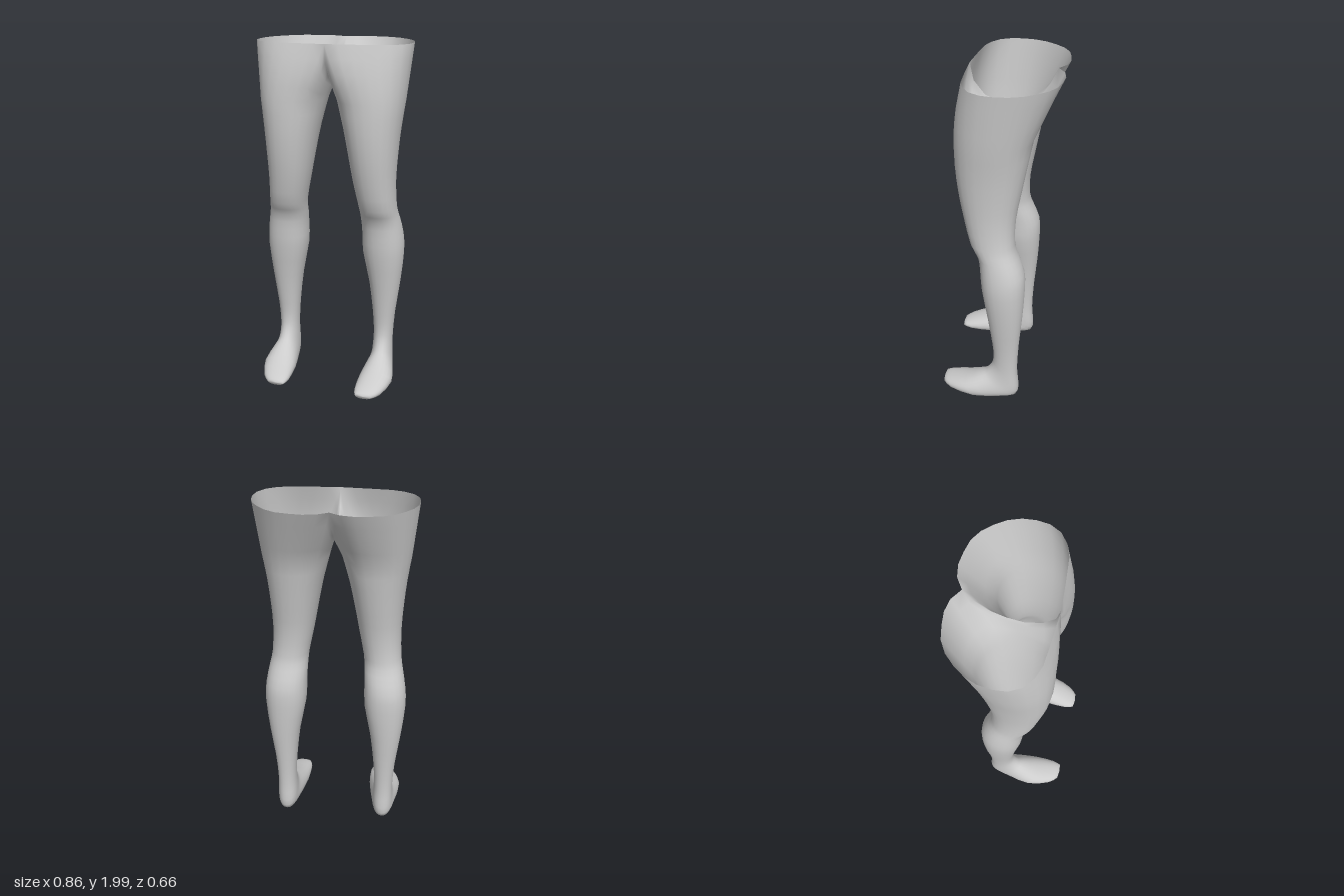
import * as THREE from 'three';

const SIDES = 24;
const spline = (points) =>
  new THREE.CatmullRomCurve3(points.map((p) => new THREE.Vector3(...p)), false, 'catmullrom', 0.5);

// Leg sections from toe to thigh: back (y, z), front (y, z), inner x, outer x
const SECTIONS = [
  [0.02, 0.322, 0.055, 0.32, 0.22, 0.315],
  [0.003, 0.26, 0.073, 0.277, 0.204, 0.36],
  [-0.01, 0.1, 0.11, 0.175, 0.205, 0.4],
  [-0.01, -0.05, 0.157, 0.083, 0.225, 0.382],
  [0.01, -0.137, 0.185, 0.045, 0.238, 0.368],
  [0.08, -0.15, 0.24, 0.012, 0.242, 0.361],
  [0.2, -0.14, 0.31, 0.003, 0.245, 0.36],
  [0.4, -0.148, 0.4, 0.008, 0.236, 0.37],
  [0.6, -0.165, 0.6, 0.033, 0.212, 0.395],
  [0.8, -0.176, 0.8, 0.065, 0.173, 0.413],
  [0.92, -0.17, 0.92, 0.074, 0.169, 0.406],
  [1.02, -0.134, 1.02, 0.087, 0.164, 0.387],
  [1.1, -0.112, 1.1, 0.132, 0.158, 0.372],
  [1.25, -0.115, 1.25, 0.168, 0.128, 0.365],
  [1.4, -0.14, 1.4, 0.194, 0.101, 0.371],
  [1.55, -0.167, 1.55, 0.208, 0.071, 0.383],
  [1.7, -0.195, 1.7, 0.21, 0.032, 0.402],
];

// Open hip edge, from the centre back around the outside to the centre front
const HIP_EDGE = spline([
  [0, 2, -0.28], [0.045, 2, -0.312], [0.1, 2, -0.33], [0.2, 2, -0.32],
  [0.3, 2, -0.285], [0.4, 2, -0.165], [0.43, 2, -0.04], [0.405, 2, 0.075],
  [0.31, 2, 0.145], [0.18, 2, 0.163], [0, 2, 0.175],
]);

// Centre seam, from the front down under the crotch and up the back
const SEAM = spline([
  [0, 2, 0.175], [0, 1.87, 0.14], [0, 1.8, 0.03],
  [0, 1.8, -0.06], [0, 1.87, -0.2], [0, 2, -0.28],
]);

// Closed rim of one hip, turned so that its first point lies on the outer side
function hipRim() {
  const loop = [...HIP_EDGE.getSpacedPoints(17), ...SEAM.getSpacedPoints(7).slice(1, -1)];
  return loop.map((_, i) => loop[(i + 9) % SIDES]);
}

// Slightly squared oval between two corner points, with the sole kept flat
function ovalRing(back, front) {
  const soften = (v) => Math.sign(v) * Math.abs(v) ** 0.92;
  return Array.from({ length: SIDES }, (_, i) => {
    const angle = (i / SIDES) * Math.PI * 2;
    const across = (soften(Math.cos(angle)) + 1) / 2;
    const along = (soften(Math.sin(angle)) + 1) / 2;
    return new THREE.Vector3(
      THREE.MathUtils.lerp(back.x, front.x, across),
      Math.max(0.008, THREE.MathUtils.lerp(back.y, front.y, along)),
      THREE.MathUtils.lerp(back.z, front.z, along)
    );
  });
}

function legRings() {
  const backs = spline(SECTIONS.map(([y, z, , , inner]) => [inner, y, z]));
  const fronts = spline(SECTIONS.map(([, , y, z, , outer]) => [outer, y, z]));
  const steps = (SECTIONS.length - 1) * 2;

  // Closed toe tip, then the foot and leg
  const tip = new THREE.Vector3(0.265, 0.038, 0.327);
  const rings = [ovalRing(tip, tip)];
  for (let i = 0; i <= steps; i++) {
    rings.push(ovalRing(backs.getPoint(i / steps), fronts.getPoint(i / steps)));
  }

  // Blend the round thigh into the open hip
  const thigh = rings[rings.length - 1];
  const rim = hipRim();
  for (const t of [0.25, 0.5, 0.75, 1]) {
    rings.push(thigh.map((p, i) => {
      const q = p.clone().lerp(rim[i], t);
      q.z += 0.012 * Math.sin(Math.PI * t) * Math.max(0, Math.sin((i / SIDES) * Math.PI * 2));
      return q;
    }));
  }
  return rings;
}

function legGeometry(side) {
  const rings = legRings();
  const positions = rings.flat().flatMap((p) => [p.x * side, p.y, p.z]);
  const index = [];
  for (let r = 0; r < rings.length - 1; r++) {
    for (let c = 0; c < SIDES; c++) {
      const a = r * SIDES + c;
      const b = r * SIDES + ((c + 1) % SIDES);
      const d = a + SIDES;
      const e = b + SIDES;
      if (side > 0) index.push(a, d, b, b, d, e);
      else index.push(a, b, d, b, e, d);
    }
  }
  const geometry = new THREE.BufferGeometry();
  geometry.setAttribute('position', new THREE.Float32BufferAttribute(positions, 3));
  geometry.setIndex(index);
  geometry.computeVertexNormals();

  // Smooth shading across the centre seam
  const { position, normal } = geometry.attributes;
  const n = new THREE.Vector3();
  for (let i = 0; i < position.count; i++) {
    if (Math.abs(position.getX(i)) > 1e-5) continue;
    n.fromBufferAttribute(normal, i).setX(0).normalize();
    normal.setXYZ(i, n.x, n.y, n.z);
  }
  return geometry;
}

export function createModel() {
  const group = new THREE.Group();
  group.name = 'legs';
  const skin = new THREE.MeshStandardMaterial({ color: 0xcccccc, side: THREE.DoubleSide });
  skin.name = 'light grey';

  for (const [name, side] of [['leftLeg', 1], ['rightLeg', -1]]) {
    const leg = new THREE.Mesh(legGeometry(side), skin);
    leg.name = name;
    group.add(leg);
  }
  return group;
}
